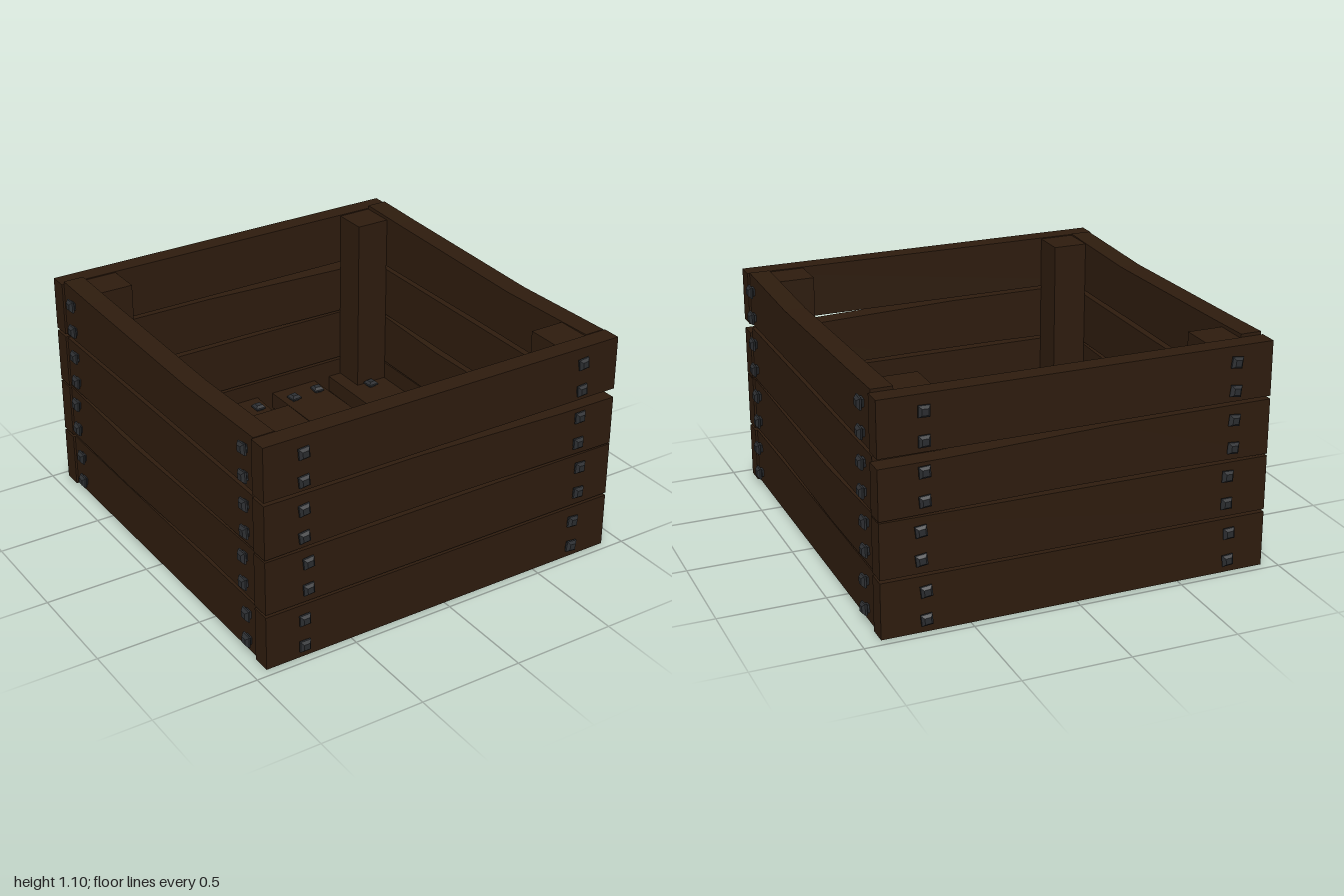
import * as THREE from 'three';

const wood = new THREE.MeshStandardMaterial({ color: 0x2e1c0e, flatShading: true });
const iron = new THREE.MeshStandardMaterial({ color: 0x2b2d30, flatShading: true });

// Board outline from its lower and upper edges (both listed left to right), given a thickness
function board(lower, upper, thickness) {
  const outline = [...lower, ...[...upper].reverse()].map(([u, v]) => new THREE.Vector2(u, v));
  return new THREE.ExtrudeGeometry(new THREE.Shape(outline), { depth: thickness, bevelEnabled: false });
}

// Square forged nail head, base at y = 0
const nailGeometry = new THREE.LatheGeometry(
  [[0.024, -0.01], [0.026, 0.004], [0.038, 0.01], [0.037, 0.018], [0.021, 0.03], [0, 0.03]]
    .map(([r, y]) => new THREE.Vector2(r, y)), 4).rotateY(Math.PI / 4);

export function createModel() {
  const crate = new THREE.Group();
  crate.name = 'woodenCrate';

  const add = (name, geometry, x = 0, y = 0, z = 0) => {
    const mesh = new THREE.Mesh(geometry, wood);
    mesh.name = name;
    mesh.position.set(x, y, z);
    crate.add(mesh);
  };

  let nailCount = 0;
  const up = new THREE.Vector3(0, 1, 0);
  const nail = (x, y, z, nx, ny, nz) => {
    const mesh = new THREE.Mesh(nailGeometry, iron);
    mesh.name = 'nail';
    mesh.position.set(x, y, z);
    mesh.quaternion.setFromUnitVectors(up, new THREE.Vector3(nx, ny, nz));
    mesh.rotateY(0.12 * Math.sin(nailCount++ * 2.4));
    crate.add(mesh);
  };

  // Front and back planks, the third one tapering to the model's left
  const endRows = [
    { lower: [[-0.93, 0], [0.91, 0]], upper: [[-0.93, 0.265], [0.91, 0.265]] },
    { lower: [[-0.93, 0.278], [0.91, 0.278]], upper: [[-0.93, 0.54], [0.91, 0.54]] },
    { lower: [[-0.93, 0.55], [-0.4, 0.558], [0.1, 0.558], [0.91, 0.546]],
      upper: [[-0.93, 0.812], [-0.15, 0.81], [0.6, 0.785], [0.91, 0.782]] },
    { lower: [[-0.93, 0.827], [0.91, 0.827]], upper: [[-0.93, 1.085], [0.91, 1.085]] },
  ];
  for (const { lower, upper } of endRows) {
    add('frontPlank', board(lower, upper, 0.09), 0, 0, 0.87);
    add('backPlank', board(lower, upper, 0.09), 0, 0, -0.96);
  }

  // Side planks, the second one sagging
  const sideRows = [
    { lower: [[-0.87, 0.005], [0.87, 0.005]], upper: [[-0.87, 0.268], [0.87, 0.268]] },
    { lower: [[-0.87, 0.278], [-0.3, 0.272], [0.45, 0.292], [0.87, 0.282]],
      upper: [[-0.87, 0.542], [-0.25, 0.518], [0.3, 0.53], [0.87, 0.542]] },
    { lower: [[-0.87, 0.55], [0.87, 0.55]], upper: [[-0.87, 0.806], [0.87, 0.808]] },
    { lower: [[-0.87, 0.825], [0.1, 0.833], [0.87, 0.83]],
      upper: [[-0.87, 1.1], [-0.6, 1.092], [0.3, 1.072], [0.87, 1.088]] },
  ];
  for (const { lower, upper } of sideRows) {
    add('leftPlank', board(lower, upper, 0.1).rotateY(-Math.PI / 2), 0.9);
    add('rightPlank', board(lower, upper, 0.1).rotateY(-Math.PI / 2), -0.82);
  }

  // Corner posts and the two floor beams
  for (const s of [-1, 1]) {
    for (const x of [-0.735, 0.715]) {
      add('cornerPost', new THREE.BoxGeometry(0.17, 0.9, 0.17), x, 0.63, s * 0.785);
    }
    add('floorBeam', new THREE.BoxGeometry(1.62, 0.085, 0.26), -0.01, 0.0475, s * 0.7);
  }

  // Floor slats: [z, x] edges, the middle one bowed
  const slats = [
    { a: [[-0.82, -0.87], [-0.58, -0.87]], b: [[-0.82, 0.87], [-0.58, 0.87]] },
    { a: [[-0.49, -0.87], [-0.23, -0.87]], b: [[-0.49, 0.87], [-0.23, 0.87]] },
    { a: [[-0.14, -0.87], [0.12, -0.87]],
      b: [[-0.185, -0.2], [-0.15, 0.6], [-0.15, 0.87], [0.12, 0.87], [0.11, 0.5], [0.095, -0.2]] },
    { a: [[0.21, -0.87], [0.47, -0.87]], b: [[0.22, 0], [0.21, 0.87], [0.5, 0.87], [0.48, 0]] },
    { a: [[0.56, -0.87], [0.8, -0.87]], b: [[0.56, 0.87], [0.8, 0.87]] },
  ];
  for (const { a, b } of slats) {
    // A two-point far edge is listed left to right; longer ones already run around the outline
    const outline = [...a].reverse().concat(b).map(([x, z]) => new THREE.Vector2(x, z));
    const geometry = new THREE.ExtrudeGeometry(new THREE.Shape(outline), { depth: 0.085, bevelEnabled: false });
    add('floorSlat', geometry.rotateX(Math.PI / 2), 0, 0.178, 0);
  }

  // Nails through the walls, two per plank end
  [0.065, 0.198, 0.348, 0.48, 0.613, 0.745, 0.882, 1.014].forEach((y, i) => {
    const shift = i === 2 || i === 3 ? 0.02 : 0;
    for (const x of [-0.745, 0.708]) {
      nail(x + shift, y, 0.962, 0, 0, 1);
      nail(x + shift, y, -0.962, 0, 0, -1);
    }
    for (const z of [0.805, -0.775]) {
      nail(0.905, y, z - shift, 1, 0, 0);
      nail(-0.922, y, z - shift, -1, 0, 0);
    }
  });

  // Nails in the floor
  const floorNails = [
    [-0.745, -0.65], [-0.44, -0.75], [-0.29, -0.73], [-0.07, -0.75], [0.06, -0.76], [0.27, -0.75], [0.42, -0.765], [0.69, -0.665],
    [-0.695, 0.64], [-0.43, 0.69], [-0.29, 0.67], [-0.09, 0.71], [0.05, 0.69], [0.26, 0.71], [0.425, 0.695], [0.695, 0.645],
  ];
  for (const [x, z] of floorNails) nail(x, 0.178, z, 0, 1, 0);

  return crate;
}
